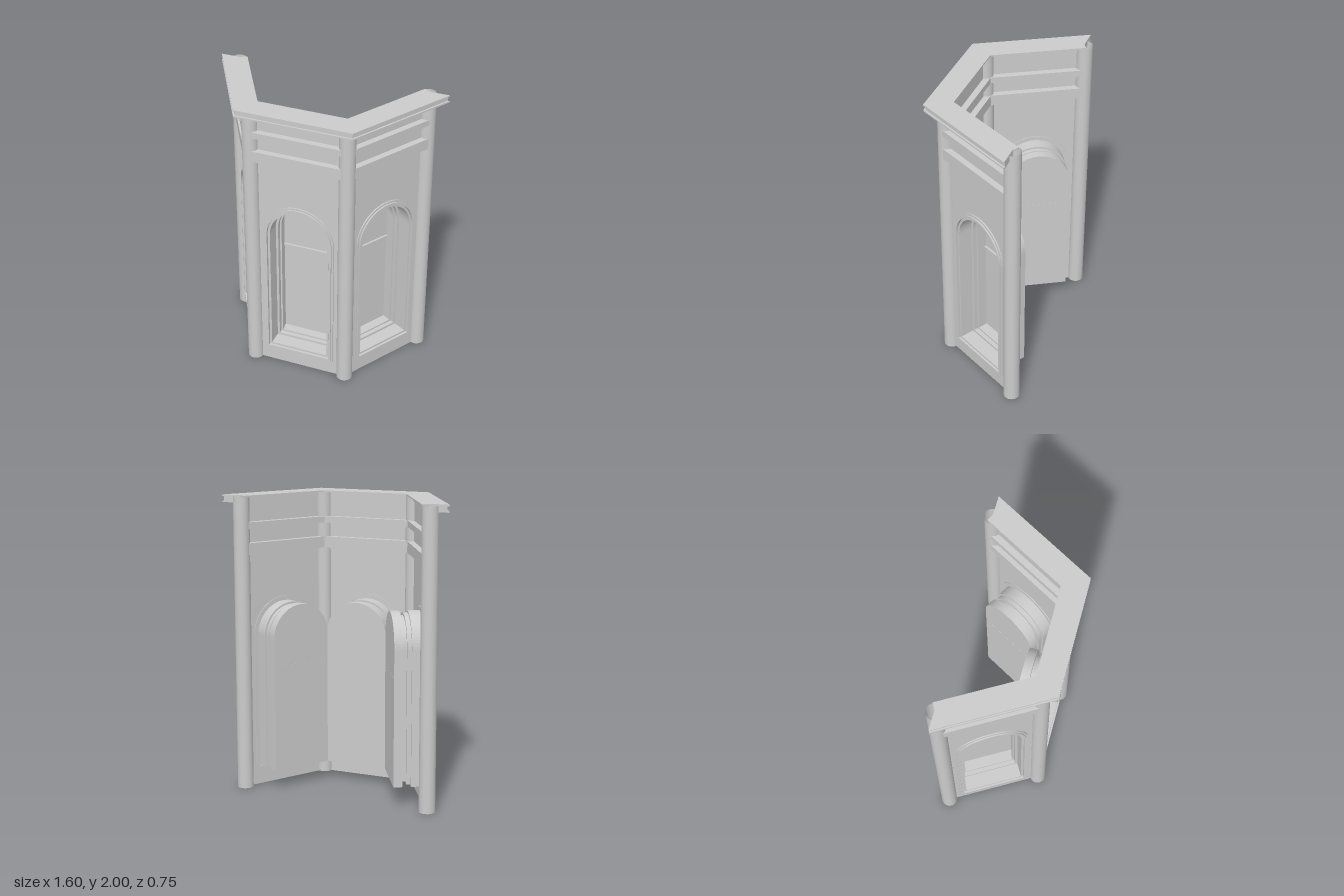
import * as THREE from 'three';

const material = new THREE.MeshStandardMaterial({ color: 0xcccccc, side: THREE.DoubleSide });

// The bay is half a hexagon around a pivot; these are its plan measures.
const PIVOT_X = -0.0075, PIVOT_Z = -0.32;
const SIDE = 0.665, WALL = SIDE * Math.cos(Math.PI / 6);
const SPRING = 1.05;

function add(parent, name, geometry, x = 0, y = 0, z = 0) {
  const mesh = new THREE.Mesh(geometry, material);
  mesh.name = name;
  mesh.position.set(x, y, z);
  parent.add(mesh);
  return mesh;
}

// Round-headed outline; narrower outlines also sit higher at the sill.
function arch(half, path = new THREE.Shape()) {
  const bottom = 0.35 - half;
  path.moveTo(-half, bottom);
  path.lineTo(half, bottom);
  path.lineTo(half, SPRING);
  path.absarc(0, SPRING, half, 0, Math.PI, false);
  path.lineTo(-half, bottom);
  return path;
}

function extrude(shape, depth) {
  return new THREE.ExtrudeGeometry(shape, { depth, bevelEnabled: false, curveSegments: 16 });
}

// Arched ring between two half widths, spanning world depths z0 to z1 of the front panel.
function archFrame(parent, name, outer, inner, z0, z1) {
  const shape = arch(outer);
  if (inner) shape.holes.push(arch(inner, new THREE.Path()));
  add(parent, name, extrude(shape, z1 - z0), 0, 0, z0 - PIVOT_Z);
}

function createPanel(name) {
  const panel = new THREE.Group();
  panel.name = name;

  // Thin wall with an arched opening
  const wall = new THREE.Shape();
  wall.moveTo(-SIDE / 2, 0);
  wall.lineTo(SIDE / 2, 0);
  wall.lineTo(SIDE / 2, 1.99);
  wall.lineTo(-SIDE / 2, 1.99);
  wall.closePath();
  wall.holes.push(arch(0.21, new THREE.Path()));
  add(panel, 'wall', extrude(wall, 0.01), 0, 0, WALL - 0.005);

  // Stepped window surround, from the outer trim to the rear casing
  archFrame(panel, 'outerTrim', 0.25, 0.235, 0.245, 0.27);
  archFrame(panel, 'innerTrim', 0.236, 0.222, 0.245, 0.28);
  archFrame(panel, 'frontFrame', 0.217, 0.203, 0.168, 0.268);
  archFrame(panel, 'middleFrame', 0.204, 0.187, 0.138, 0.168);
  archFrame(panel, 'neckFrame', 0.187, 0.175, 0.112, 0.138);
  archFrame(panel, 'rearCasing', 0.217, 0.187, 0.06, 0.112);
  archFrame(panel, 'pane', 0.217, 0, 0.052, 0.06);
  add(panel, 'crossbar', new THREE.BoxGeometry(0.37, 0.014, 0.024), 0, 0.855, 0.063 - PIVOT_Z);

  // Horizontal bands projecting on both faces of the wall
  add(panel, 'upperBand', new THREE.BoxGeometry(0.62, 0.042, 0.095), 0, 1.802, WALL);
  add(panel, 'lowerBand', new THREE.BoxGeometry(0.62, 0.076, 0.095), 0, 1.646, WALL);
  return panel;
}

// Half-hexagon strip between two apothems, with the inner ends cut square to the wall.
function corniceLayer(parent, name, outer, inner, top, thickness) {
  const r = outer / Math.cos(Math.PI / 6), q = inner / Math.cos(Math.PI / 6);
  const inset = WALL - inner;
  const endX = SIDE - inset * 0.866, endZ = -inset * 0.5;
  const points = [
    [r, 0], [r / 2, outer], [-r / 2, outer], [-r, 0], [-SIDE, 0], [-endX, endZ],
    [-q / 2, inner], [q / 2, inner], [endX, endZ], [SIDE, 0],
  ].map(([x, z]) => new THREE.Vector2(x, z));
  const geometry = extrude(new THREE.Shape(points), thickness).rotateX(Math.PI / 2);
  add(parent, name, geometry, -PIVOT_X, top, 0);
}

export function createModel() {
  const model = new THREE.Group();
  model.name = 'bayWindow';
  const bay = new THREE.Group();
  bay.name = 'bay';
  bay.position.set(PIVOT_X, 0, PIVOT_Z);
  model.add(bay);

  // Three equal sides turned about the pivot
  ['rightPanel', 'frontPanel', 'leftPanel'].forEach((name, i) => {
    const panel = createPanel(name);
    panel.rotation.y = (i - 1) * Math.PI / 3;
    bay.add(panel);
  });

  // Open round columns at the four corners
  const column = new THREE.CylinderGeometry(0.054, 0.054, 1.99, 32, 1, true);
  for (let i = 0; i < 4; i++) {
    const a = i * Math.PI / 3;
    add(bay, 'column', column, Math.cos(a) * SIDE, 0.995, Math.sin(a) * SIDE);
  }

  // Cornice: wide top plate, recessed fascia and lower lip
  corniceLayer(bay, 'corniceTop', 0.692, 0.526, 2, 0.01);
  corniceLayer(bay, 'corniceFascia', 0.68, WALL - 0.005, 1.99, 0.03);
  corniceLayer(bay, 'corniceLip', 0.692, WALL - 0.005, 1.96, 0.01);
  return model;
}
